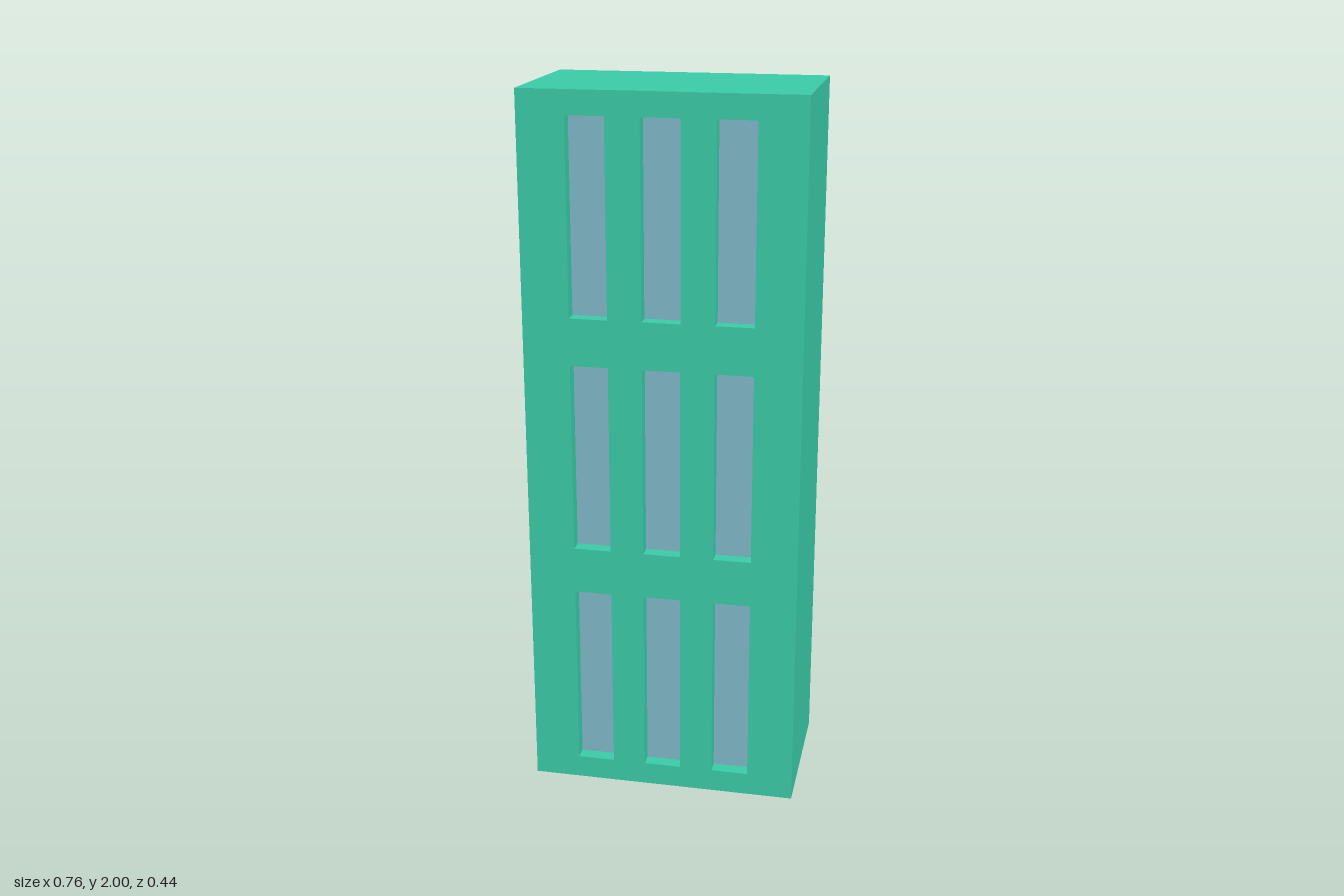
import * as THREE from 'three';

const W = 0.76, H = 2, D = 0.44;              // overall block
const RECESS = 0.04;                          // window depth
const WIN_W = 0.105, WIN_H = 0.535;           // window opening
const PITCH_X = 0.198, PITCH_Y = 0.667;       // window spacing

// Rectangle centred on (x, y), added to a shape or hole path
function rect(path, x, y, w, h) {
  path.moveTo(x - w / 2, y - h / 2);
  path.lineTo(x + w / 2, y - h / 2);
  path.lineTo(x + w / 2, y + h / 2);
  path.lineTo(x - w / 2, y + h / 2);
  path.closePath();
  return path;
}

export function createModel() {
  const model = new THREE.Group();
  model.name = 'towerBlock';
  const wallMat = new THREE.MeshStandardMaterial({ color: 0x3acaa6 });
  const glassMat = new THREE.MeshStandardMaterial({ color: 0x80b8c8 });

  // Solid block behind the facade
  const body = new THREE.Mesh(new THREE.BoxGeometry(W, H, D - RECESS), wallMat);
  body.name = 'body';
  body.position.set(0, H / 2, -RECESS / 2);
  model.add(body);

  // Facade with a 3 x 3 grid of openings, each backed by a pane
  const wall = rect(new THREE.Shape(), 0, H / 2, W, H);
  const paneGeo = new THREE.PlaneGeometry(WIN_W, WIN_H);
  const panes = new THREE.Group();
  panes.name = 'windows';
  for (let row = -1; row <= 1; row++) {
    for (let col = -1; col <= 1; col++) {
      const x = col * PITCH_X, y = H / 2 + row * PITCH_Y;
      wall.holes.push(rect(new THREE.Path(), x, y, WIN_W, WIN_H));
      const pane = new THREE.Mesh(paneGeo, glassMat);
      pane.name = 'windowPane';
      pane.position.set(x, y, D / 2 - RECESS + 0.002);
      panes.add(pane);
    }
  }
  const facade = new THREE.Mesh(
    new THREE.ExtrudeGeometry(wall, { depth: RECESS, bevelEnabled: false }), wallMat);
  facade.name = 'facade';
  facade.position.z = D / 2 - RECESS;
  model.add(facade, panes);

  return model;
}
